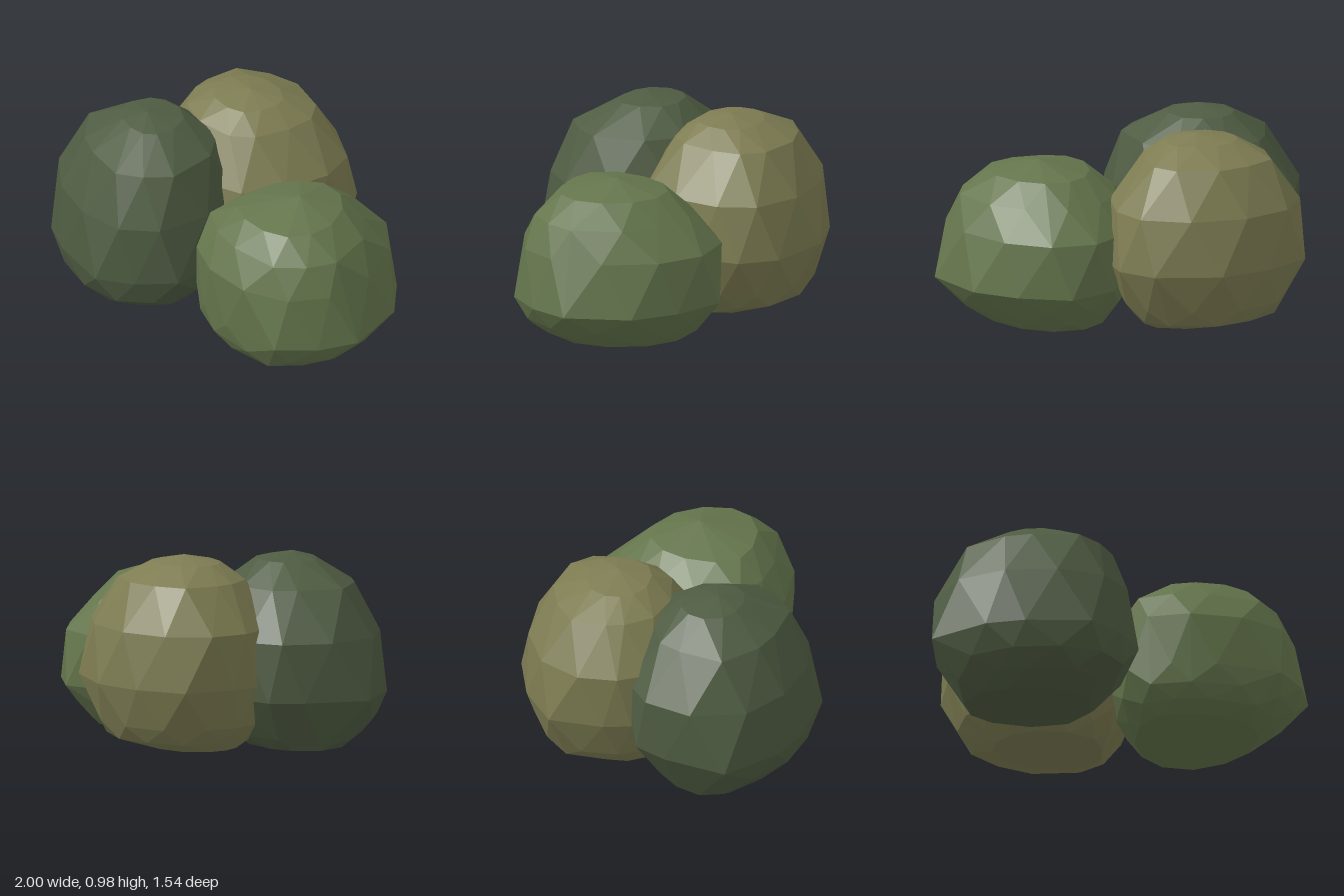
import * as THREE from 'three';
import { ConvexGeometry } from 'three/addons/geometries/ConvexGeometry.js';

// A faceted shrub: a hull around staggered rings, closed by a crown point.
// The outline is its uneven plan within a -1..1 square, as [x, z] corners.
// Each ring fits that plan to [height, xMin, xMax, zMin, zMax].
function bush(name, color, outline, rings, crown) {
  const corners = outline.map(([x, z]) => new THREE.Vector2(x, z));
  // Points between the corners, pushed out slightly to keep the plan round
  const between = corners.map((corner, i) =>
    corner.clone().add(corners[(i + 1) % corners.length]).multiplyScalar(0.515));

  const points = [new THREE.Vector3(...crown)];
  rings.forEach(([y, x0, x1, z0, z1], level) => {
    for (const c of level % 2 ? corners : between) {
      points.push(new THREE.Vector3(
        (x0 + x1 + c.x * (x1 - x0)) / 2,
        y,
        (z0 + z1 + c.y * (z1 - z0)) / 2,
      ));
    }
  });
  const material = new THREE.MeshStandardMaterial({ color, flatShading: true });
  const mesh = new THREE.Mesh(new ConvexGeometry(points), material);
  mesh.name = name;
  return mesh;
}

export function createModel() {
  const group = new THREE.Group();
  group.name = 'bushCluster';

  // Front right, tall and dark
  group.add(bush('darkBush', 0x4f5c42, [
    [-1, 0.22], [-0.83, -0.46], [-0.66, -0.79], [-0.14, -1], [0.52, -0.9], [0.9, -0.42],
    [1, 0.38], [0.75, 0.75], [0.43, 1], [-0.2, 0.88], [-0.56, 0.71],
  ], [
    [0, -0.82, -0.15, 0.02, 0.5],
    [0.06, -0.86, -0.08, -0.05, 0.63],
    [0.14, -0.91, 0, -0.1, 0.73],
    [0.27, -1, 0.05, -0.19, 0.77],
    [0.57, -0.98, 0.03, -0.2, 0.73],
    [0.82, -0.81, -0.07, -0.06, 0.61],
    [0.94, -0.62, -0.27, 0.08, 0.4],
  ], [-0.44, 0.975, 0.27]));

  // Back, tall and olive
  group.add(bush('oliveBush', 0x7d7c52, [
    [0.03, -1], [0.7, -0.83], [0.98, -0.49], [1, 0], [0.85, 0.6], [0.55, 0.9],
    [-0.1, 1], [-0.65, 0.8], [-0.94, 0.36], [-1, 0.06], [-0.96, -0.53], [-0.5, -0.85],
  ], [
    [0, -0.55, 0, -0.46, 0],
    [0.06, -0.64, 0.06, -0.65, 0.07],
    [0.14, -0.71, 0.12, -0.7, 0.12],
    [0.35, -0.79, 0.21, -0.77, 0.18],
    [0.63, -0.78, 0.17, -0.73, 0.15],
    [0.86, -0.63, 0, -0.6, 0.01],
    [0.94, -0.48, -0.12, -0.43, -0.1],
  ], [-0.28, 0.975, -0.27]));

  // Left, low and light green
  group.add(bush('lightBush', 0x64754c, [
    [-0.09, -1], [0.41, -0.77], [0.78, -0.44], [1, 0.2], [0.86, 0.59], [0.58, 0.92],
    [-0.09, 1], [-0.54, 0.92], [-0.94, 0.69], [-1, 0.1], [-0.85, -0.45], [-0.58, -0.77],
  ], [
    [0, 0.12, 0.75, -0.35, 0.34],
    [0.05, 0.08, 0.83, -0.4, 0.43],
    [0.12, 0.02, 0.92, -0.46, 0.47],
    [0.22, -0.01, 1, -0.54, 0.49],
    [0.49, 0, 0.93, -0.53, 0.49],
    [0.64, 0.06, 0.86, -0.36, 0.41],
    [0.75, 0.2, 0.72, -0.24, 0.31],
  ], [0.47, 0.815, 0.02]));

  return group;
}
